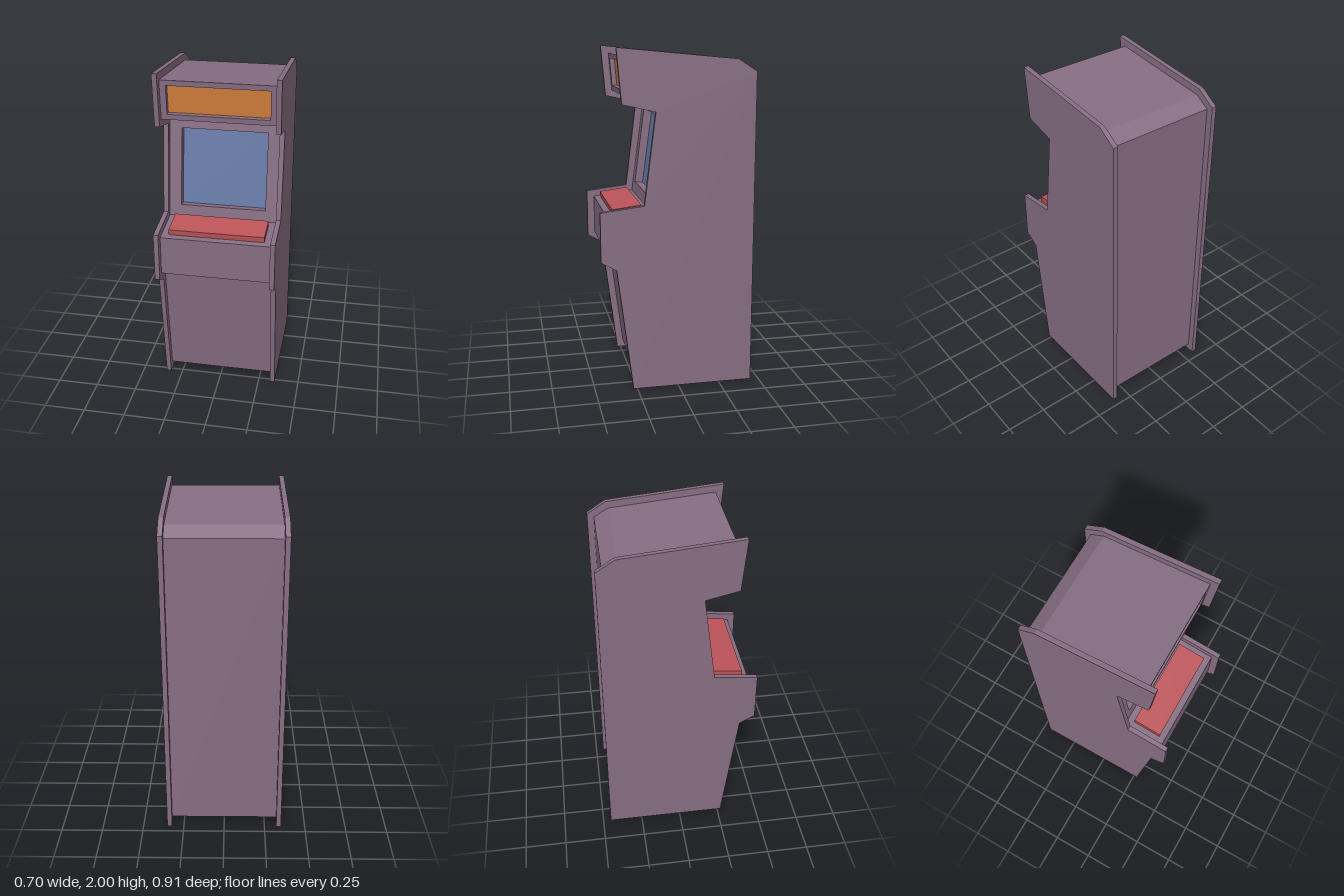
import * as THREE from 'three';

const material = (name, color) => {
  const m = new THREE.MeshStandardMaterial({ color, side: THREE.DoubleSide });
  m.name = name;
  return m;
};

export function createModel() {
  const cabinet = new THREE.Group();
  cabinet.name = 'arcadeCabinet';
  const purple = material('mutedPurple', 0x876e83);
  const blue = material('screenBlue', 0x677aa8);
  const orange = material('marqueeOrange', 0xd47f3c);
  const red = material('controlRed', 0xbd5559);

  const add = (parent, name, geometry, mat) => {
    const mesh = new THREE.Mesh(geometry, mat);
    mesh.name = name;
    parent.add(mesh);
    return mesh;
  };

  // Side panels, outlined in (z, y)
  const outline = [
    [0.272, 0], [0.365, 0.74], [0.455, 0.79], [0.455, 1.083], [0.2, 1.113], [0.132, 1.645],
    [0.325, 1.69], [0.352, 2], [-0.343, 1.935], [-0.452, 1.865], [-0.452, 0],
  ];
  const sideShape = new THREE.Shape(outline.map(([z, y]) => new THREE.Vector2(z, y)));
  const sideGeometry = new THREE.ExtrudeGeometry(sideShape, { depth: 0.029, bevelEnabled: false });
  sideGeometry.rotateY(-Math.PI / 2);
  add(cabinet, 'leftSidePanel', sideGeometry, purple).position.x = 0.352;
  add(cabinet, 'rightSidePanel', sideGeometry, purple).position.x = -0.323;

  // Each body wall spans two profile points; its local z faces outward
  const width = 0.646;
  const wallGroup = (name, a, b) => {
    const g = new THREE.Group();
    g.name = name;
    g.position.set(0, (a[1] + b[1]) / 2, (a[0] + b[0]) / 2);
    g.rotation.x = Math.atan2(b[0] - a[0], b[1] - a[1]);
    cabinet.add(g);
    return g;
  };

  // Wall face with a recessed, coloured window
  const recessedWall = (g, length, { name, w, h, depth, mat }) => {
    const rect = (Type, rw, rh) => new Type([[-1, -1], [1, -1], [1, 1], [-1, 1]]
      .map(([x, y]) => new THREE.Vector2(x * rw / 2, y * rh / 2)));
    const face = rect(THREE.Shape, width, length);
    face.holes.push(rect(THREE.Path, w, h));
    add(g, name + 'Frame', new THREE.ShapeGeometry(face), purple);
    for (const s of [-1, 1]) {
      const ledge = add(g, name + 'RecessLedge', new THREE.PlaneGeometry(w, depth), purple);
      ledge.position.set(0, s * h / 2, -depth / 2);
      ledge.rotation.x = s * Math.PI / 2;
      const cheek = add(g, name + 'RecessCheek', new THREE.PlaneGeometry(depth, h), purple);
      cheek.position.set(s * w / 2, 0, -depth / 2);
      cheek.rotation.y = -s * Math.PI / 2;
    }
    add(g, name, new THREE.PlaneGeometry(w, h), mat).position.z = -depth;
  };

  // Open-bottomed body, from the front foot up over the roof and down the back
  const profile = [
    ['lowerFront', 0.234, 0.045], ['deckUnderside', 0.326, 0.768], ['deckFront', 0.411, 0.81],
    ['controlDeck', 0.411, 1.046], ['screenWall', 0.163, 1.077], ['marqueeUnderside', 0.083, 1.677],
    ['marqueeWall', 0.285, 1.723], ['roof', 0.304, 1.953], ['rearSlope', -0.33, 1.894],
    ['backWall', -0.413, 1.843], ['end', -0.413, 0.045],
  ];
  const windows = {
    screenWall: { name: 'screen', w: 0.506, h: 0.468, depth: 0.05, mat: blue },
    marqueeWall: { name: 'marquee', w: 0.576, h: 0.168, depth: 0.03, mat: orange },
  };
  for (let i = 0; i < profile.length - 1; i++) {
    const [name, ...a] = profile[i];
    const b = profile[i + 1].slice(1);
    const length = Math.hypot(b[0] - a[0], b[1] - a[1]);
    const g = wallGroup(name, a, b);
    if (windows[name]) recessedWall(g, length, windows[name]);
    else add(g, name + 'Face', new THREE.PlaneGeometry(width, length), purple);

    // Raised red slab centred on the control deck
    if (name === 'controlDeck') {
      add(g, 'controlPanel', new THREE.BoxGeometry(0.56, 0.174, 0.036), red).position.z = 0.016;
    }
  }
  return cabinet;
}
